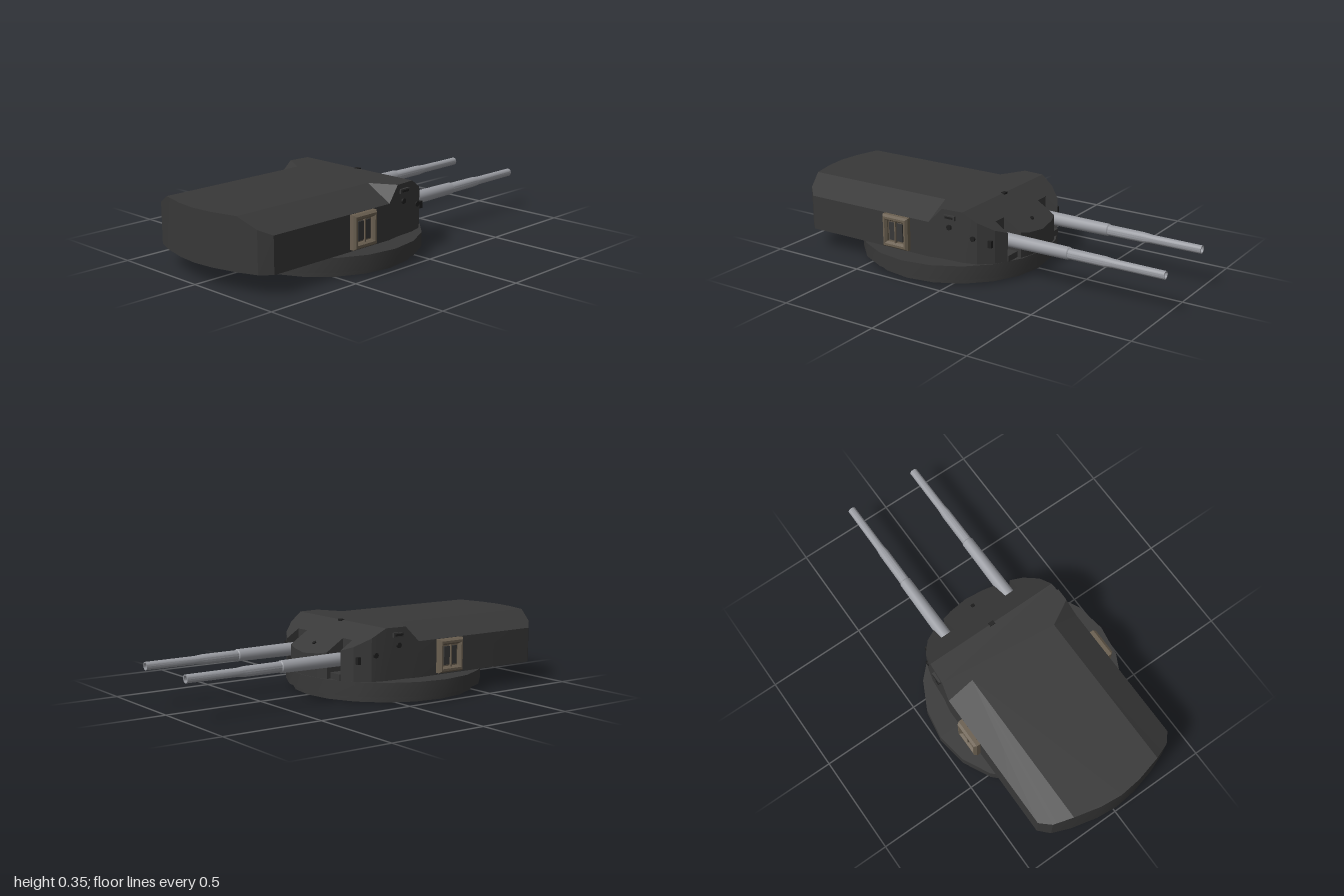
import * as THREE from 'three';
import { toCreasedNormals } from 'three/addons/utils/BufferGeometryUtils.js';

const mat = (name, color) => Object.assign(new THREE.MeshStandardMaterial({ color }), { name });

export function createModel() {
  const armour = mat('dark armour', 0x383838);
  const steel = mat('gun steel', 0x9a9ca2);
  const brown = mat('door brown', 0x6a5f50);
  const black = mat('fitting black', 0x1f1f1f);
  const root = new THREE.Group();
  root.name = 'gunTurret';

  const add = (name, geo, material, x = 0, y = 0, z = 0, parent = root) => {
    const m = new THREE.Mesh(geo, material);
    m.name = name;
    m.position.set(x, y, z);
    parent.add(m);
    return m;
  };

  // Stepped round base
  const disc = (r, h) => toCreasedNormals(new THREE.CylinderGeometry(r, r, h, 20), 0.5);
  add('baseFoot', disc(0.455, 0.03), armour, 0, 0.015, 0.225);
  add('baseRing', disc(0.49, 0.07), armour, 0, 0.065, 0.23);

  // Gunhouse outline on the +x side, rear to front: [x, z, top height]
  const floorY = 0.1, roofY = 0.35;
  const slope = (z) => roofY - (-0.03 - z) * 0.63;
  const rear = [
    [0, 0.998, roofY], [0.11, 0.987, roofY], [0.24, 0.955, roofY], [0.33, 0.92, 0.3],
    [0.378, 0.87, 0.275], [0.378, 0.15, 0.275], [0.365, 0.08, roofY],
  ];
  // The sloped front carries a notch for each gun
  const front = [
    [0.357, -0.03], [0.338, -0.1], [0.285, -0.165], [0.227, -0.199], [0.227, -0.13],
    [0.152, -0.13], [0.152, -0.225], [0.1, -0.241], [0, -0.255],
  ].map(([x, z]) => [x, z, slope(z)]);
  const mirrorLoop = (half) => [
    ...half,
    ...half.filter((p) => p[0] > 0).reverse().map(([x, z, y]) => [-x, z, y]),
  ];

  const verts = [];
  const tri = (...pts) => pts.forEach(([x, z, y]) => verts.push(x, y, z));
  const cap = (pts, up = true) => {
    const flat = pts.map(([x, z]) => new THREE.Vector2(x, -z));
    for (const [a, b, c] of THREE.ShapeUtils.triangulateShape(flat, [])) {
      if (up) tri(pts[a], pts[b], pts[c]);
      else tri(pts[a], pts[c], pts[b]);
    }
  };
  const outline = mirrorLoop([...rear, ...front]);
  // Walls
  outline.forEach((a, i) => {
    const b = outline[(i + 1) % outline.length];
    const a0 = [a[0], a[1], floorY], b0 = [b[0], b[1], floorY];
    tri(a0, b0, b);
    tri(a0, b, a);
  });
  // Underside, sloped front and flat roof
  cap(outline.map(([x, z]) => [x, z, floorY]), false);
  cap(mirrorLoop(front));
  const inner = [0.24, 0.15, roofY];
  cap(mirrorLoop([rear[0], rear[1], rear[2], inner, rear[6], front[0]]));
  // Falling roof edges, with the raised shoulder in front of them
  for (const s of [1, -1]) {
    const side = [rear[2], rear[3], rear[4], rear[5], rear[6]];
    side.slice(1).forEach((b, i) => {
      const t = [side[i], b, inner].map(([x, z, y]) => [x * s, z, y]);
      if (i === 0) return tri(...(s > 0 ? t : t.reverse()));
      tri(...(s > 0 ? t : t.reverse()));
    });
  }
  const body = new THREE.BufferGeometry();
  body.setAttribute('position', new THREE.Float32BufferAttribute(verts, 3));
  add('gunhouse', toCreasedNormals(body, 0.35), armour);

  // Gun barrel: radius against distance forward, with an open bore
  const barrel = toCreasedNormals(new THREE.LatheGeometry([
    [0, 0.1], [0.033, 0.1], [0.033, 0.2], [0.03, 0.51], [0.026, 0.515], [0.025, 0.7],
    [0.021, 0.74], [0.02, 1], [0.015, 1], [0.015, 0.93], [0, 0.93],
  ].map(([r, d]) => new THREE.Vector2(r, d)), 16).rotateX(-Math.PI / 2), 0.6);

  // Side door frame with a rounded-off outer edge
  const rect = (shape, w, h) => {
    shape.moveTo(-w, -h);
    shape.lineTo(w, -h);
    shape.lineTo(w, h);
    shape.lineTo(-w, h);
    shape.closePath();
    return shape;
  };
  const frameShape = rect(new THREE.Shape(), 0.066, 0.073);
  frameShape.holes.push(rect(new THREE.Path(), 0.058, 0.062));
  const frame = new THREE.ExtrudeGeometry(frameShape, {
    depth: 0.02, bevelEnabled: true, bevelSegments: 1, bevelSize: 0.009, bevelThickness: 0.012,
  });

  for (const s of [1, -1]) {
    const label = s > 0 ? 'left' : 'right';
    add(label + 'Barrel', barrel, steel, s * 0.19, 0.195, 0);
    add(label + 'NotchFloor', new THREE.BoxGeometry(0.075, 0.03, 0.08), armour, s * 0.19, 0.115, -0.165);

    const door = new THREE.Group();
    door.name = label + 'Door';
    door.position.set(s * 0.378, 0.192, 0.335);
    door.rotation.y = s * Math.PI / 2;
    root.add(door);
    add('doorFrame', frame, brown, 0, 0, 0, door);
    add('doorPanel', new THREE.BoxGeometry(0.12, 0.13, 0.012), brown, 0, 0, 0.004, door);
    for (const x of [-0.022, 0.022]) {
      add('doorSlat', new THREE.BoxGeometry(0.035, 0.09, 0.008), armour, x, 0, 0.013, door);
    }
    add('doorPost', new THREE.BoxGeometry(0.007, 0.11, 0.016), brown, 0, 0, 0.016, door);

    // Sight hood, ports and bolts on the shoulder
    add('sightHood', new THREE.BoxGeometry(0.022, 0.022, 0.06), armour, s * 0.362, 0.315, 0.035);
    add('sightSlot', new THREE.BoxGeometry(0.006, 0.01, 0.045), black, s * 0.372, 0.315, 0.035);
    add('frontPort', new THREE.BoxGeometry(0.016, 0.035, 0.02), black, s * 0.302, 0.2, -0.15);
    for (const [x, y, z] of [[0.364, 0.265, 0.04], [0.343, 0.225, -0.08]]) {
      add('sideBolt', new THREE.CylinderGeometry(0.013, 0.013, 0.014, 10).rotateZ(Math.PI / 2), black, s * x, y, z);
    }
  }

  // Roof fittings
  add('roofSight', new THREE.BoxGeometry(0.028, 0.016, 0.02), black, 0, 0.345, -0.03);
  add('frontBolt', new THREE.CylinderGeometry(0.01, 0.01, 0.012, 10).rotateX(-0.56), black, 0, slope(-0.19), -0.19);
  return root;
}
